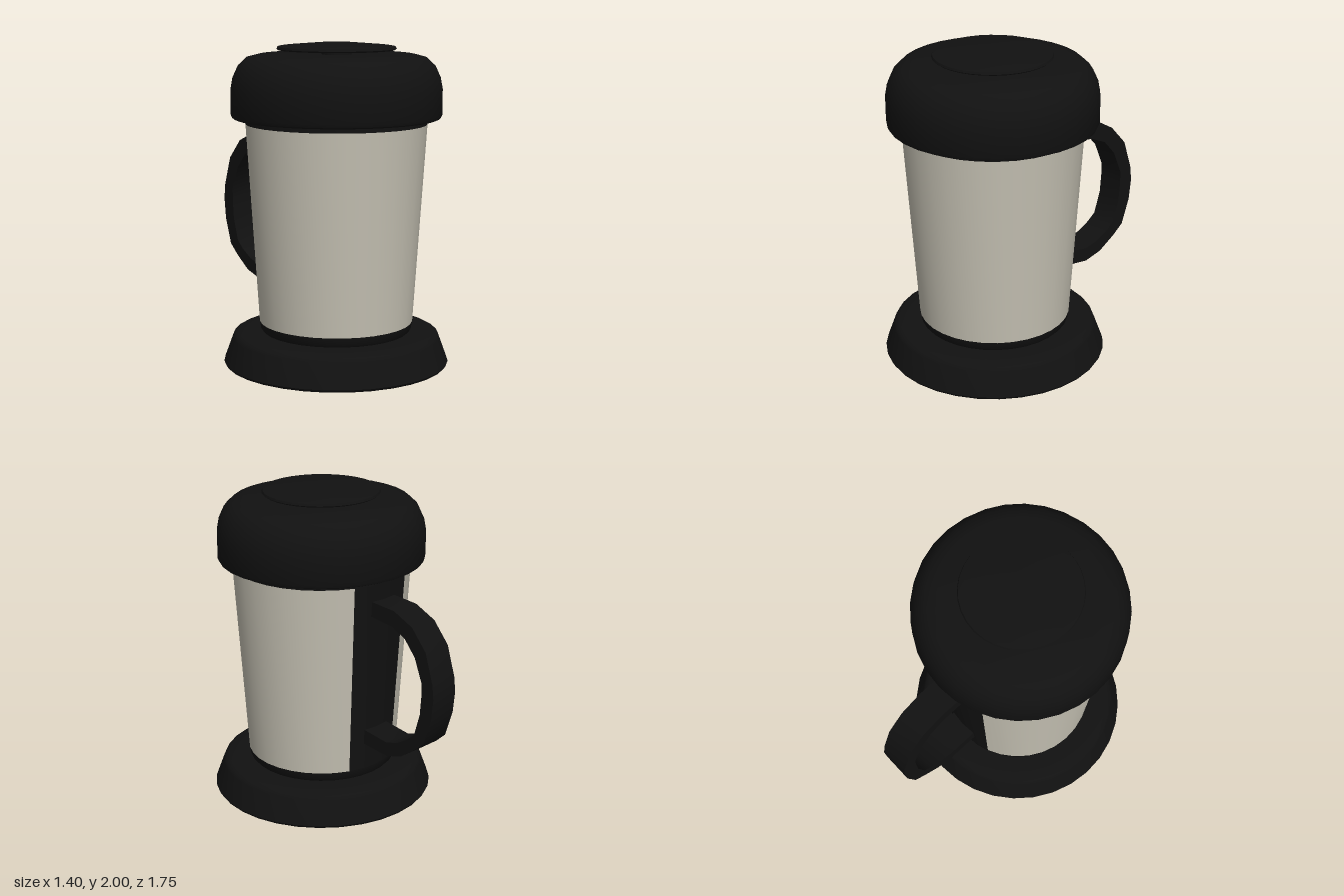
import * as THREE from 'three';
import { toCreasedNormals } from 'three/addons/utils/BufferGeometryUtils.js';

const SIDES = 32;
const AXIS_Z = 0.175; // the cup stands forward of centre, the handle fills the back

export function createModel() {
  const model = new THREE.Group();
  model.name = 'travelMug';
  const black = new THREE.MeshStandardMaterial({ color: 0x111111 });
  const steel = new THREE.MeshStandardMaterial({ color: 0xc4c0b2 });

  // Turned part: profile of [radius, height] from bottom to top
  function turned(name, profile, material, start = 0, segments = SIDES) {
    const points = profile.map(([r, y]) => new THREE.Vector2(r, y));
    const length = (segments / SIDES) * Math.PI * 2;
    const geometry = new THREE.LatheGeometry(points, segments, start, length);
    const mesh = new THREE.Mesh(toCreasedNormals(geometry, 0.7), material);
    mesh.name = name;
    mesh.position.z = AXIS_Z;
    model.add(mesh);
    return mesh;
  }

  // Flared foot
  turned('base', [
    [0, 0], [0.67, 0.003], [0.69, 0.01], [0.7, 0.025], [0.645, 0.175],
    [0.635, 0.195], [0.61, 0.208], [0.55, 0.214], [0, 0.214],
  ], black);

  // Rounded bottom of the cup and collar below the lid
  turned('cupBottom', [
    [0.4, 0.2], [0.45, 0.21], [0.468, 0.23], [0.476, 0.275], [0.4, 0.275],
  ], black);
  turned('collar', [[0.45, 1.505], [0.556, 1.505], [0.558, 1.545]], black);

  // Tapered wall: steel sleeve open at the back, filled by a dark strip
  const wall = [[0.476, 0.275], [0.556, 1.505]];
  const stripHalf = Math.PI / 8;
  turned('steelSleeve', wall, steel, Math.PI + stripHalf, SIDES - 4);
  turned('backStrip', wall, black, Math.PI - stripHalf, 4);

  // Domed lid
  turned('lid', [
    [0, 1.537], [0.62, 1.537], [0.637, 1.545], [0.645, 1.565], [0.645, 1.72],
    [0.632, 1.79], [0.6, 1.86], [0.55, 1.907], [0.48, 1.925], [0, 1.925],
  ], black);

  // Press knob: stem and shallow conical disc
  turned('knobStem', [[0.09, 1.92], [0.09, 1.955]], black);
  turned('knobDisc', [
    [0, 1.952], [0.355, 1.952], [0.365, 1.96], [0.36, 1.973],
    [0.33, 1.978], [0.09, 1.998], [0, 2],
  ], black);

  // D-shaped handle: outer outline down, inner outline back up, as [z, y]
  const outer = [
    [-0.33, 1.4], [-0.37, 1.4], [-0.546, 1.39], [-0.695, 1.326], [-0.806, 1.2],
    [-0.865, 1.013], [-0.875, 0.92], [-0.86, 0.785], [-0.806, 0.62],
    [-0.737, 0.557], [-0.62, 0.472], [-0.504, 0.435], [-0.31, 0.45], [-0.27, 0.453],
  ];
  const inner = [
    [-0.27, 0.55], [-0.31, 0.546], [-0.499, 0.525], [-0.589, 0.552], [-0.668, 0.6],
    [-0.727, 0.652], [-0.77, 0.796], [-0.78, 0.92], [-0.78, 0.997],
    [-0.72, 1.146], [-0.637, 1.241], [-0.53, 1.289], [-0.37, 1.305], [-0.33, 1.308],
  ];
  const width = 0.19;
  const outline = new THREE.Shape([...outer, ...inner].map(([z, y]) => new THREE.Vector2(-z, y)));
  const bar = new THREE.ExtrudeGeometry(outline, { depth: width, bevelEnabled: false });
  bar.translate(0, 0, -width / 2);
  bar.rotateY(Math.PI / 2); // shape x runs to the back
  const handle = new THREE.Mesh(toCreasedNormals(bar, 0.7), black);
  handle.name = 'handle';
  model.add(handle);

  return model;
}
